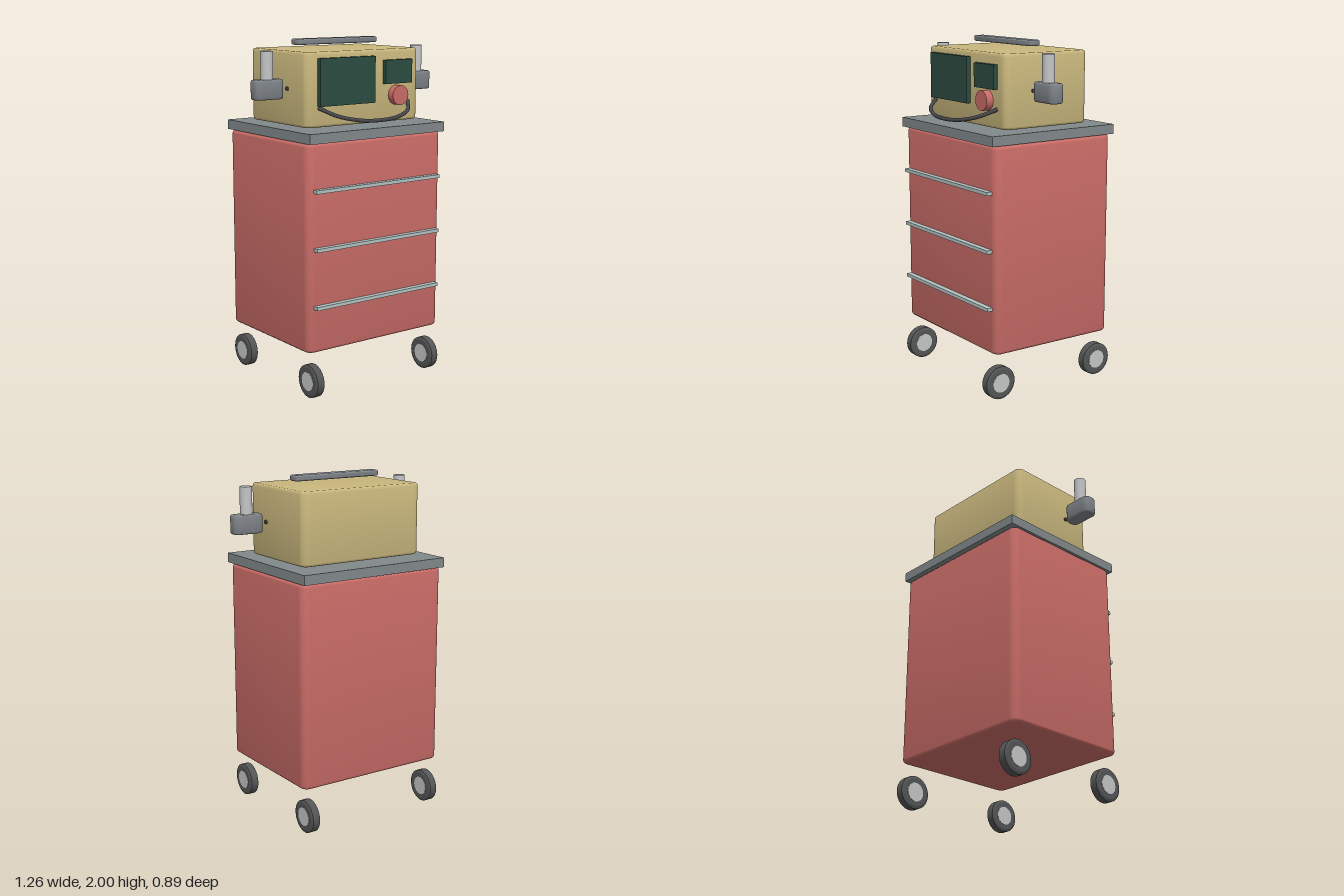
import * as THREE from 'three';
import { toCreasedNormals } from 'three/addons/utils/BufferGeometryUtils.js';

const paint = (name, color) => {
  const m = new THREE.MeshStandardMaterial({ color });
  m.name = name;
  return m;
};

// Upright box with rounded vertical corners and small bevels at top and bottom
function roundedBlock(w, h, d, r, bevel) {
  const x = w / 2 - bevel, y = d / 2 - bevel, c = Math.max(r - bevel, 0.002);
  const s = new THREE.Shape();
  s.moveTo(-x + c, -y);
  s.lineTo(x - c, -y);
  s.absarc(x - c, -y + c, c, -Math.PI / 2, 0);
  s.lineTo(x, y - c);
  s.absarc(x - c, y - c, c, 0, Math.PI / 2);
  s.lineTo(-x + c, y);
  s.absarc(-x + c, y - c, c, Math.PI / 2, Math.PI);
  s.lineTo(-x, -y + c);
  s.absarc(-x + c, -y + c, c, Math.PI, Math.PI * 1.5);
  const g = new THREE.ExtrudeGeometry(s, {
    depth: h - 2 * bevel, bevelEnabled: true, bevelThickness: bevel,
    bevelSize: bevel, bevelSegments: 3, curveSegments: 6,
  });
  g.translate(0, 0, -(h / 2 - bevel));
  g.rotateX(-Math.PI / 2);
  return toCreasedNormals(g, 0.65);
}

export function createModel() {
  const red = paint('red enamel', 0xc96c67);
  const tan = paint('tan casing', 0xc9b77d);
  const slate = paint('slate worktop', 0x82898b);
  const grey = paint('grey plastic', 0x7e8388);
  const screenGreen = paint('dark green screen', 0x2c4c40);
  const silver = paint('pale rail', 0xb4c3c3);
  const light = paint('light metal', 0xc5c6c7);
  const rubber = paint('black rubber', 0x545556);
  const cableGrey = paint('dark cable', 0x47484b);

  const model = new THREE.Group();
  model.name = 'medicalCart';
  const add = (name, geometry, material, x, y, z, parent = model) => {
    const mesh = new THREE.Mesh(geometry, material);
    mesh.name = name;
    mesh.position.set(x, y, z);
    parent.add(mesh);
    return mesh;
  };

  // Cabinet, worktop and drawer rails
  add('cabinet', roundedBlock(0.96, 1.18, 0.805, 0.045, 0.018), red, 0, 0.866, 0);
  add('worktop', new THREE.BoxGeometry(0.96, 0.056, 0.845), slate, 0, 1.487, 0.002);
  const rail = new THREE.BoxGeometry(0.885, 0.02, 0.034);
  [0.54, 0.87, 1.197].forEach((y) => add('drawerRail', rail, silver, 0, y, 0.418));

  // Monitor unit
  add('monitorCase', roundedBlock(0.805, 0.416, 0.572, 0.045, 0.016), tan, 0, 1.733, -0.002);
  add('carryHandle', roundedBlock(0.576, 0.034, 0.076, 0.018, 0.01), grey, 0, 1.983, 0);
  add('mainScreen', new THREE.BoxGeometry(0.386, 0.264, 0.028), screenGreen, -0.137, 1.775, 0.297);
  add('smallScreen', new THREE.BoxGeometry(0.195, 0.136, 0.028), screenGreen, 0.229, 1.812, 0.297);
  const knob = new THREE.CylinderGeometry(0.057, 0.057, 0.05, 32).rotateX(Math.PI / 2);
  add('controlKnob', knob, red, 0.228, 1.677, 0.303);

  // Cable looping in front of the casing
  const half = [[0.322, 1.635, 0.28], [0.25, 1.592, 0.363], [0.13, 1.565, 0.41]];
  const path = [
    ...half.map(([x, y, z]) => new THREE.Vector3(-x, y, z)),
    new THREE.Vector3(0, 1.558, 0.422),
    ...half.map(([x, y, z]) => new THREE.Vector3(x, y, z)).reverse(),
  ];
  add('cable', new THREE.TubeGeometry(new THREE.CatmullRomCurve3(path), 48, 0.011, 10),
    cableGrey, 0, 0, 0);

  // Paddles beside the monitor, with their side sockets
  const paddleBody = roundedBlock(0.186, 0.11, 0.09, 0.036, 0.012);
  const paddleGrip = new THREE.CylinderGeometry(0.035, 0.035, 0.2, 24);
  const socket = new THREE.CylinderGeometry(0.011, 0.011, 0.026, 12).rotateZ(Math.PI / 2);
  for (const side of [1, -1]) {
    const paddle = new THREE.Group();
    paddle.name = side > 0 ? 'leftPaddle' : 'rightPaddle';
    model.add(paddle);
    add('paddleBody', paddleBody, grey, side * 0.537, 1.735, 0.095, paddle);
    add('paddleGrip', paddleGrip, light, side * 0.537, 1.845, 0.095, paddle);
    add('cableSocket', socket, cableGrey, side * 0.4, 1.733, 0.1, paddle);
  }

  // Castor wheels: chamfered tyre and a hub showing on both faces
  const profile = [[0.05, -0.028], [0.082, -0.028], [0.096, -0.022],
    [0.096, 0.022], [0.082, 0.028], [0.05, 0.028]].map(([r, y]) => new THREE.Vector2(r, y));
  const tyre = toCreasedNormals(
    new THREE.LatheGeometry(profile, 32).rotateZ(Math.PI / 2).toNonIndexed(), 0.4);
  const hub = new THREE.CylinderGeometry(0.055, 0.055, 0.059, 24).rotateZ(Math.PI / 2);
  for (const x of [-0.423, 0.423]) {
    for (const z of [-0.347, 0.347]) {
      const wheel = new THREE.Group();
      wheel.name = 'wheel';
      wheel.position.set(x, 0.096, z);
      model.add(wheel);
      add('tyre', tyre, rubber, 0, 0, 0, wheel);
      add('hub', hub, light, 0, 0, 0, wheel);
    }
  }
  return model;
}
